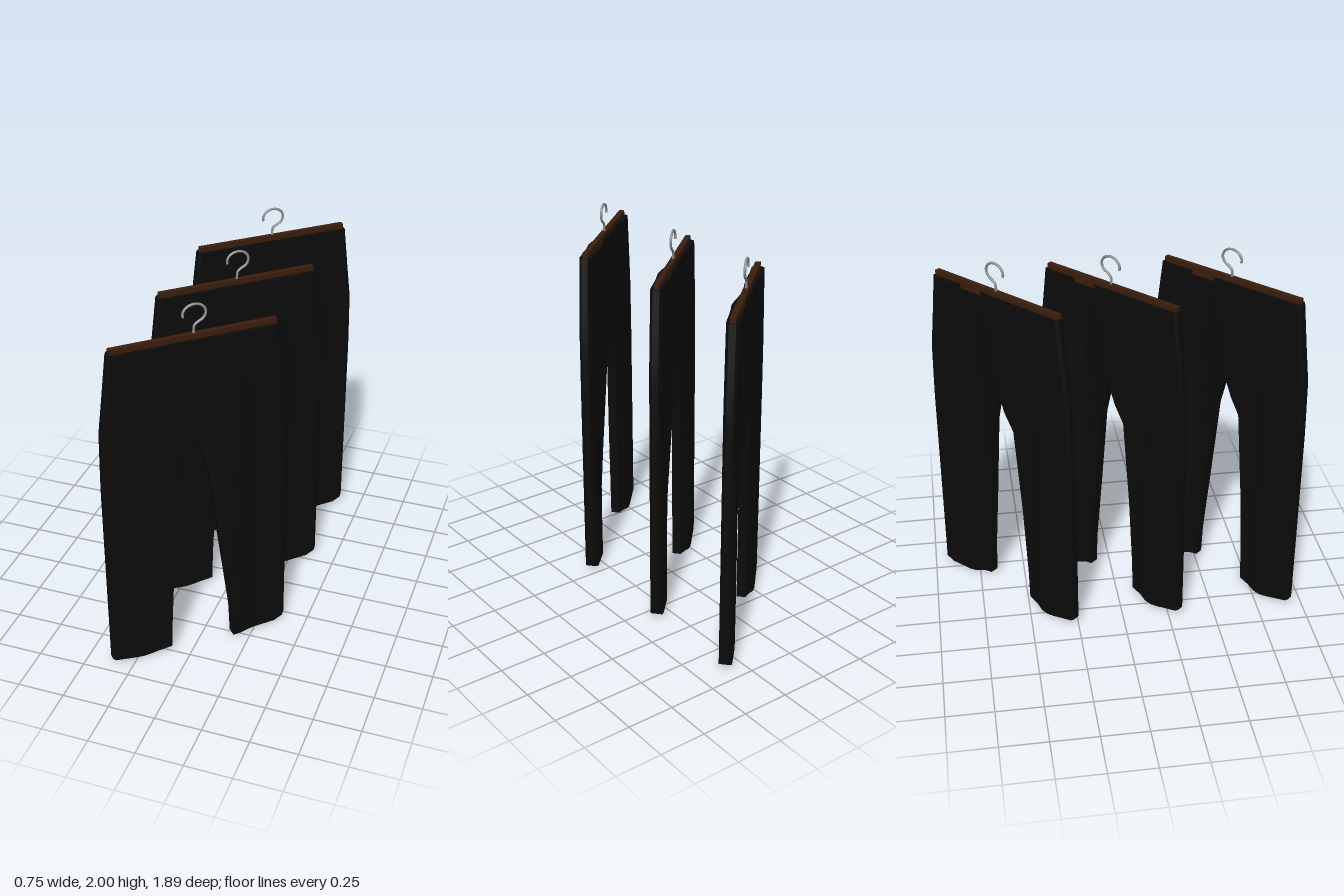
import * as THREE from 'three';
import { toCreasedNormals } from 'three/addons/utils/BufferGeometryUtils.js';

// Piecewise linear lookup in a list of [input, output] pairs, ascending input
function lookup(table, x) {
  if (x <= table[0][0]) return table[0][1];
  for (let i = 1; i < table.length; i++) {
    const [x0, y0] = table[i - 1], [x1, y1] = table[i];
    if (x <= x1) return y0 + (y1 - y0) * (x - x0) / (x1 - x0);
  }
  return table[table.length - 1][1];
}

// Outer seam and the two inseams by height
const OUTER = [[0, 0.49], [1.1, 0.49], [1.4, 0.483], [1.6, 0.457], [1.82, 0.43]];
const INNER_RIGHT = [[0, -0.165], [0.2, -0.16], [0.6, -0.137], [1.08, -0.1], [1.29, 0]];
const INNER_LEFT = [[0, 0.17], [0.2, 0.162], [0.6, 0.115], [1.08, 0.058], [1.29, 0]];
// Folds in the cloth: offset forward across the width
const FOLD = [[-0.49, 0], [-0.29, -0.012], [-0.2, 0.008], [-0.15, 0.01], [-0.04, -0.012],
  [0.05, 0.008], [0.147, 0.04], [0.2, 0.046], [0.27, 0.008], [0.49, -0.004]];
// Hem height across each leg
const HEM_RIGHT = [[0, 0.035], [0.15, 0.025], [0.5, 0], [0.7, 0.008], [1, 0.03]];
const HEM_LEFT = [[0, 0.02], [0.3, 0.01], [0.85, 0.008], [1, 0.04]];
const ROWS = [1.82, 1.71, 1.6, 1.4, 1.29, 1.18, 1.08, 0.84, 0.6, 0.2, 0];
const COLS = [0, 0.03, 0.14, 0.27, 0.4, 0.53, 0.66, 0.8, 0.95, 1];

// One trouser half: flat rings stacked from waist to hem
function trouserHalf(side) {
  const n = COLS.length, ring = n * 2, pos = [], idx = [];
  const hem = side > 0 ? HEM_LEFT : HEM_RIGHT;
  ROWS.forEach((y) => {
    const lo = side > 0 ? lookup(INNER_LEFT, y) : -lookup(OUTER, y);
    const hi = side > 0 ? lookup(OUTER, y) : lookup(INNER_RIGHT, y);
    const amount = THREE.MathUtils.clamp(1 - (y - 1.2) * 0.9, 0.4, 1);
    const point = (t, face) => {
      const s = lo + (hi - lo) * t;
      const atOuter = side > 0 ? t === 1 : t === 0;
      const half = atOuter ? 0.017 : Math.abs(s) > 0.25 ? 0.032 : 0.025;
      pos.push(s, y === 0 ? lookup(hem, t) : y, lookup(FOLD, s) * amount + face * half);
    };
    COLS.forEach((t) => point(t, 1));
    [...COLS].reverse().forEach((t) => point(t, -1));
  });
  for (let r = 0; r < ROWS.length - 1; r++) {
    for (let i = 0; i < ring; i++) {
      const j = (i + 1) % ring;
      const a = r * ring + i, b = r * ring + j, c = a + ring, d = b + ring;
      idx.push(a, c, b, b, c, d);
    }
  }
  // Close the waist and the hem
  const last = (ROWS.length - 1) * ring;
  for (let i = 0; i < n - 1; i++) {
    const a = i, b = i + 1, c = ring - 1 - i, d = ring - 2 - i;
    idx.push(a, b, c, b, d, c);
    idx.push(last + a, last + c, last + b, last + b, last + c, last + d);
  }
  const g = new THREE.BufferGeometry();
  g.setAttribute('position', new THREE.Float32BufferAttribute(pos, 3));
  g.setIndex(idx);
  return toCreasedNormals(g, 0.5);
}

// Hanger hook: short stem, then an arc that opens to one side
function hookGeometry() {
  const pts = [[0, 1.83], [0, 1.865], [0.004, 1.885], [0.022, 1.9]];
  for (let i = 0; i <= 10; i++) {
    const a = THREE.MathUtils.degToRad(-42 + i * 23.5);
    pts.push([0.004 + 0.058 * Math.cos(a), 1.946 + 0.048 * Math.sin(a)]);
  }
  const curve = new THREE.CatmullRomCurve3(pts.map(([x, y]) => new THREE.Vector3(x, y, 0)));
  return new THREE.TubeGeometry(curve, 48, 0.0065, 8);
}

export function createModel() {
  const material = (name, color) => {
    const m = new THREE.MeshStandardMaterial({ color });
    m.name = name;
    return m;
  };
  const cloth = material('black cloth', 0x0b0b0b);
  const wood = material('dark brown wood', 0x3a1d0c);
  const metal = material('grey metal', 0x8c8c8c);

  const parts = [
    ['rightTrouserHalf', trouserHalf(-1), cloth],
    ['leftTrouserHalf', trouserHalf(1), cloth],
    ['hangerBar', new THREE.BoxGeometry(0.84, 0.05, 0.028).translate(0, 1.822, 0), wood],
    ['hangerHook', hookGeometry(), metal],
  ];

  // Three identical hung pairs in a row, each turned the same way
  const model = new THREE.Group();
  model.name = 'hangingTrousers';
  [0.607, -0.012, -0.59].forEach((z, i) => {
    const pair = new THREE.Group();
    pair.name = `trousersOnHanger${i + 1}`;
    for (const [name, geometry, mat] of parts) {
      const mesh = new THREE.Mesh(geometry, mat);
      mesh.name = name;
      pair.add(mesh);
    }
    pair.position.z = z;
    pair.rotation.y = THREE.MathUtils.degToRad(42);
    model.add(pair);
  });
  return model;
}
